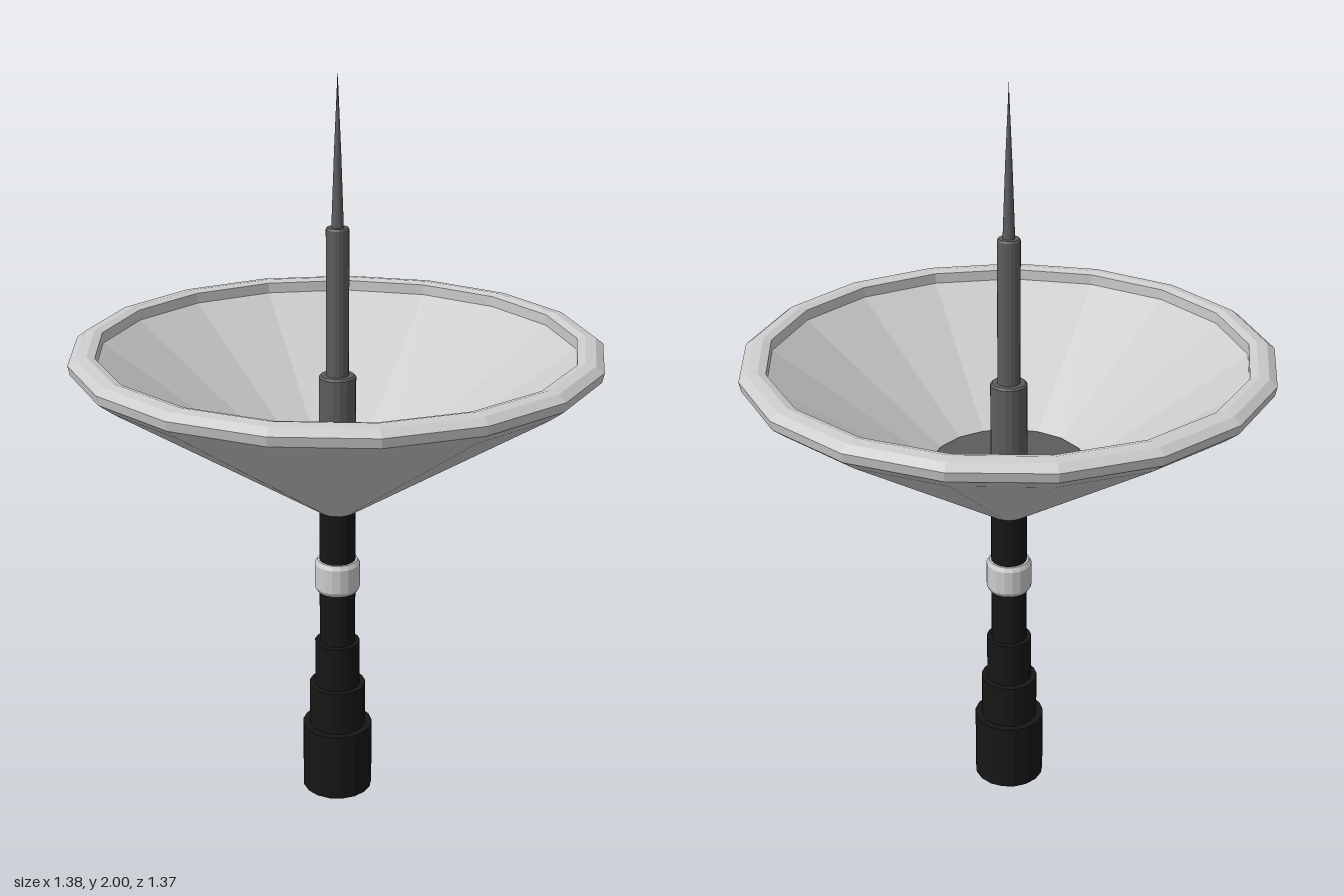
import * as THREE from 'three';

const SIDES = 17;

export function createModel() {
  const group = new THREE.Group();
  group.name = 'dishAntenna';

  const material = (color) =>
    new THREE.MeshStandardMaterial({ color, flatShading: true });
  const grey = material(0xcccccc);
  const dark = material(0x5c5c5c);
  const black = material(0x161616);

  // Revolves a [radius, height] profile, one corner pointing to the back
  const turned = (name, points, mat) => {
    const profile = points.map(([r, y]) => new THREE.Vector2(r, y));
    const mesh = new THREE.Mesh(new THREE.LatheGeometry(profile, SIDES, Math.PI), mat);
    mesh.name = name;
    group.add(mesh);
  };

  // Stepped base and lower mast
  turned('steppedMast', [
    [0, 0], [0.097, 0], [0.097, 0.195], [0.078, 0.195], [0.078, 0.32],
    [0.062, 0.32], [0.062, 0.45], [0.049, 0.45], [0.049, 0.86], [0, 0.86],
  ], black);

  // Chamfered ring around the mast
  turned('collar', [
    [0.045, 0.605], [0.055, 0.605], [0.062, 0.617],
    [0.062, 0.685], [0.055, 0.697], [0.045, 0.697],
  ], grey);

  // Conical dish: outer skin, bevelled rim, inner lip and inner skin
  turned('dish', [
    [0, 0.84], [0.05, 0.84], [0.65, 1.24], [0.688, 1.27], [0.693, 1.295],
    [0.672, 1.311], [0.645, 1.315], [0.624, 1.309], [0.624, 1.28], [0.206, 0.985],
  ], grey);

  // Flat plate at the bottom of the bowl
  turned('hubPlate', [[0.212, 0.985], [0.206, 0.99], [0, 0.99]], dark);

  // Feed rod in two steps, ending in a needle
  turned('feedRod', [
    [0.049, 0.98], [0.049, 1.215], [0.044, 1.22], [0.03, 1.22],
    [0.03, 1.605], [0.027, 1.61], [0, 1.61],
  ], dark);
  turned('needle', [[0.016, 1.605], [0.009, 1.8], [0, 2]], dark);

  return group;
}
